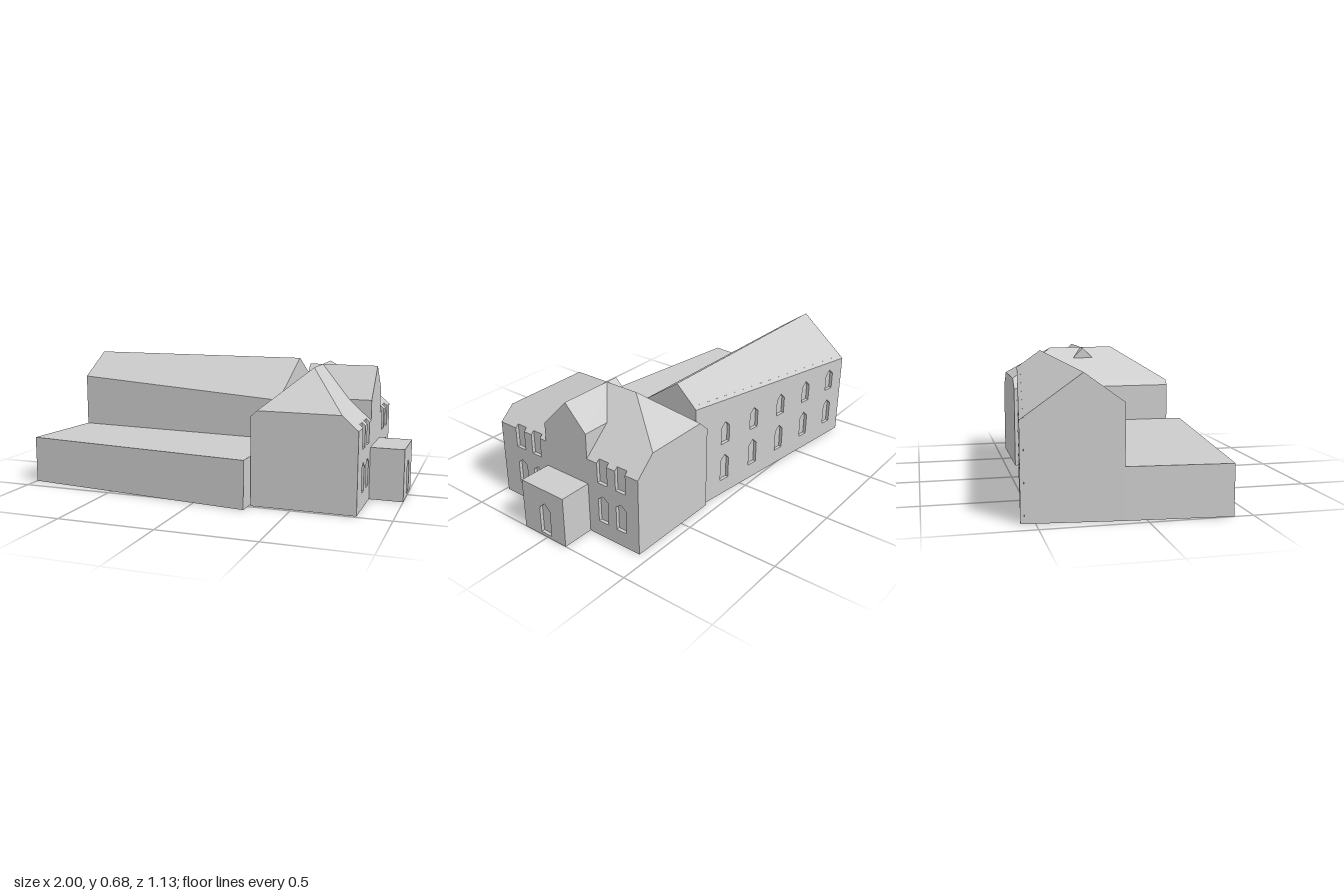
import * as THREE from 'three';
import { ConvexGeometry } from 'three/addons/geometries/ConvexGeometry.js';

const DEPTH = 0.018; // depth of every window and door recess

// Roof heights of the two main volumes
const wingRoof = (x, z) => 0.675 - 0.73 * Math.abs(z + 0.285);
const hallRoof = (x, z) =>
  0.675 - Math.max(0.9 * Math.abs(x - 0.533), 0.644 * Math.max(0, Math.abs(z) - 0.19));

// Points of a pointed-arch opening
const arch = (s, bottom, spring, apex, half) => [
  [s - half, bottom], [s + half, bottom], [s + half, spring], [s, apex], [s - half, spring],
].map(([a, b]) => new THREE.Vector2(a, b));

export function createModel() {
  const model = new THREE.Group();
  const stone = new THREE.MeshStandardMaterial({ color: 0xcccccc });
  stone.name = 'paleGrey';

  const add = (name, geometry) => {
    const mesh = new THREE.Mesh(geometry, stone);
    mesh.name = name;
    model.add(mesh);
  };
  const solid = (name, points) =>
    add(name, new ConvexGeometry(points.map((p) => new THREE.Vector3(...p))));

  // Wall slab with openings, extruded inward; vertices above topLimit follow the roof
  const wall = (name, outline, openings, x, z, angle, roof, topLimit) => {
    const shape = new THREE.Shape(outline.map(([a, b]) => new THREE.Vector2(a, b)));
    shape.holes = openings.map((pts) => new THREE.Path(pts));
    const geo = new THREE.ExtrudeGeometry(shape, { depth: DEPTH, bevelEnabled: false });
    geo.rotateY(angle).translate(x, 0, z);
    if (roof) {
      const p = geo.attributes.position;
      for (let i = 0; i < p.count; i++) {
        if (p.getY(i) > topLimit) p.setY(i, roof(p.getX(i), p.getZ(i)));
      }
      geo.computeVertexNormals();
    }
    add(name, geo);
  };

  // Long gabled wing, set slightly askew
  const A = [-0.955, -0.1], B = [0.29, 0], C = [0.353, -0.42], D = [-0.9, -0.568];
  const along = (p, q, z) => [p[0] + ((q[0] - p[0]) * (z - p[1])) / (q[1] - p[1]), z];
  const innerC = along(C, B, C[1] + DEPTH), innerD = along(D, A, D[1] + DEPTH);
  const wingPoints = [];
  for (const [x, z] of [A, B, innerC, innerD]) wingPoints.push([x, 0, z], [x, wingRoof(x, z), z]);
  for (const [x, z] of [along(D, A, -0.285), along(C, B, -0.285)]) wingPoints.push([x, 0.675, z]);
  solid('wing', wingPoints);

  // Rear wing wall with two rows of five windows
  const length = Math.hypot(C[0] - D[0], C[1] - D[1]);
  const wingWindows = [];
  for (let i = 0; i < 5; i++) {
    const s = 0.121 + i * 0.229;
    wingWindows.push(arch(s, 0.085, 0.205, 0.235, 0.031), arch(s, 0.305, 0.4, 0.43, 0.031));
  }
  wall('wingRearWall',
    [[0, 0], [length, 0], [length, wingRoof(...C)], [0, wingRoof(...D)]],
    wingWindows, D[0], D[1], -Math.atan2(C[1] - D[1], C[0] - D[0]), wingRoof, 0.45);

  // Low flat-roofed aisle in front of the wing
  solid('aisle', [[-1, 0.405], [0.28, 0.565], B, A].flatMap(([x, z]) => [[x, 0, z], [x, 0.25, z]]));

  // Hip-roofed hall across the end of the wing
  const zBack = -0.445, zFront = 0.485, xFace = 0.825, xInner = xFace - DEPTH;
  const hallPoints = [[0.533, 0.675, 0.19], [0.533, 0.675, -0.19]];
  for (const z of [zBack, zFront]) {
    const hip = hallRoof(0.533, z);
    const dx = (0.675 - hip) / 0.9;
    hallPoints.push([0.533 - dx, hip, z], [0.533 + dx, hip, z]);
    for (const x of [0.29, xInner]) hallPoints.push([x, 0, z], [x, hallRoof(x, z), z]);
  }
  solid('hall', hallPoints);

  // Hall facade on both sides of the gable; upper windows notch the eaves
  const eave = hallRoof(xFace, 0);
  for (const [z0, z1, centres] of [[zBack, -0.125, [-0.335, -0.22]], [0.155, zFront, [0.23, 0.345]]]) {
    const outline = [[z0, 0], [z1, 0], [z1, eave]];
    for (const c of [...centres].reverse()) {
      outline.push([c + 0.031, eave], [c + 0.031, 0.305], [c - 0.031, 0.305], [c - 0.031, eave]);
    }
    outline.push([z0, eave]);
    wall('hallFacade', outline.map(([z, y]) => [z - z0, y]),
      centres.map((c) => arch(c - z0, 0.085, 0.212, 0.235, 0.031)),
      xFace, z0, -Math.PI / 2, hallRoof, 0.4);
  }

  // Cross gable rising through the hall roof
  const gablePoints = [];
  for (const x of [0.465, xFace]) {
    gablePoints.push([x, 0.675, 0]);
    for (const z of [-0.125, 0.155]) gablePoints.push([x, 0, z], [x, 0.675 - 1.03 * Math.abs(z), z]);
  }
  solid('crossGable', gablePoints);

  // Flat-roofed porch with a pointed doorway
  const porch = new THREE.BoxGeometry(1 - DEPTH - 0.8, 0.273, 0.28);
  add('porch', porch.translate((1 - DEPTH + 0.8) / 2, 0.1365, 0.015));
  wall('porchDoorWall', [[0, 0], [0.28, 0], [0.28, 0.273], [0, 0.273]],
    [arch(0.13, 0.018, 0.162, 0.194, 0.035)], 1, -0.125, -Math.PI / 2);

  return model;
}
